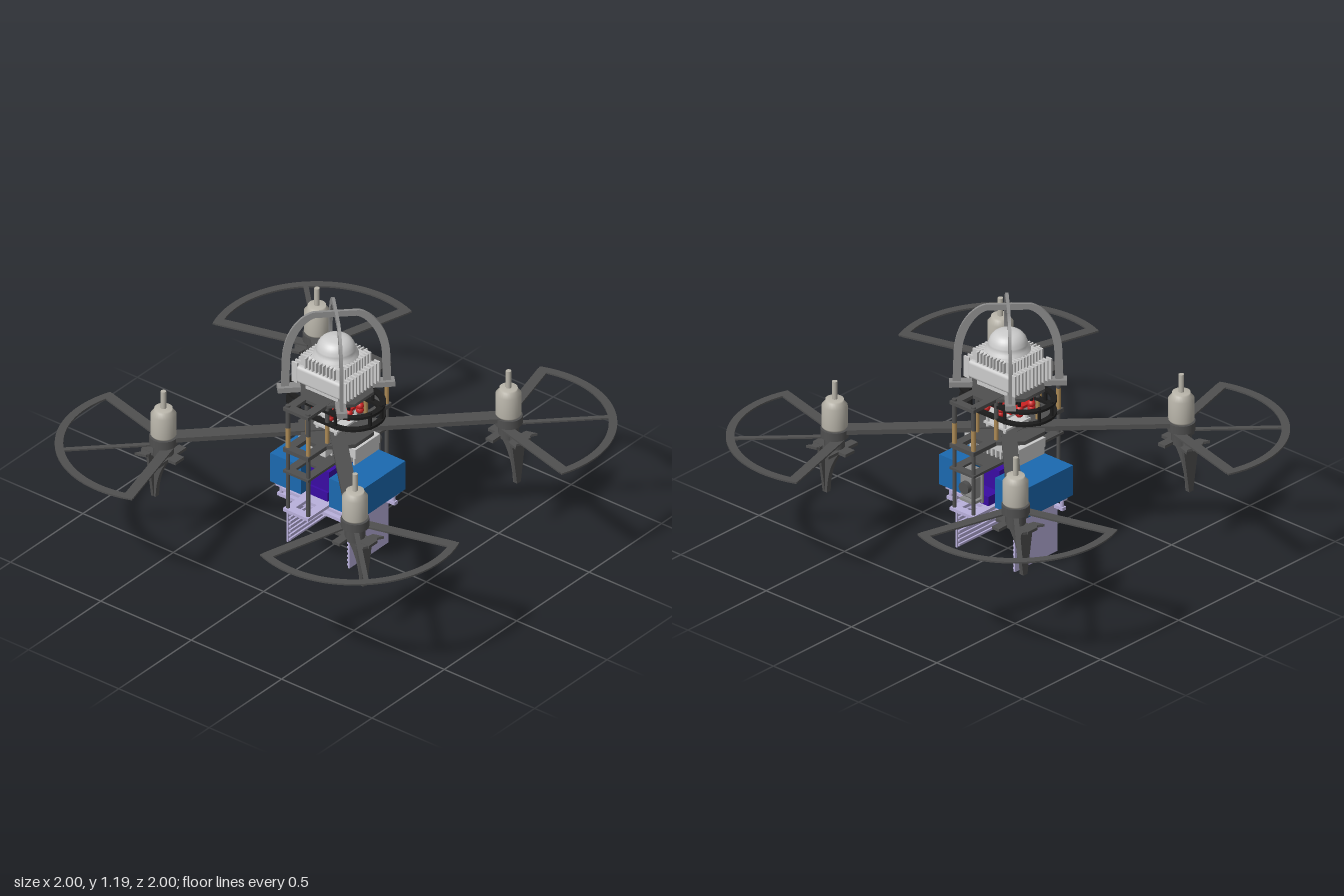
import * as THREE from 'three';
import { RoundedBoxGeometry } from 'three/addons/geometries/RoundedBoxGeometry.js';

const mat = (color) => new THREE.MeshStandardMaterial({ color });
const M = {
  carbon: mat(0x505050), black: mat(0x1c1c1c), motor: mat(0xb9b5aa), light: mat(0xd6d8d8), grey: mat(0x8c8c8c),
  blue: mat(0x1b69b0), lilac: mat(0xb9b0dc), purple: mat(0x3a0ca3), brass: mat(0xb08d57), red: mat(0xcc2222),
};

function add(parent, name, geo, material, x = 0, y = 0, z = 0) {
  const m = new THREE.Mesh(geo, material);
  m.name = name;
  m.position.set(x, y, z);
  parent.add(m);
  return m;
}
const box = (p, n, m, w, h, d, x, y, z) => add(p, n, new THREE.BoxGeometry(w, h, d), m, x, y, z);
const cyl = (p, n, m, r, y0, y1, x, z, seg = 20) =>
  add(p, n, new THREE.CylinderGeometry(r, r, y1 - y0, seg), m, x, (y0 + y1) / 2, z);
const group = (parent, name) => {
  const g = new THREE.Group();
  g.name = name;
  parent.add(g);
  return g;
};
const extrude = (shape, depth) =>
  new THREE.ExtrudeGeometry(shape, { depth, bevelEnabled: false, curveSegments: 24 });
// horizontal plate from an outline in plan, its underside on y = 0
const flat = (shape, depth) => extrude(shape, depth).rotateX(-Math.PI / 2);
const poly = (pts) => new THREE.Shape(pts.map(([x, y]) => new THREE.Vector2(x, y)));

function rectShape(x0, x1, z0, z1, holes = []) {
  const s = poly([[x0, z0], [x1, z0], [x1, z1], [x0, z1]]);
  for (const [a, b, c, d] of holes) s.holes.push(new THREE.Path(poly([[a, c], [a, d], [b, d], [b, c]]).getPoints()));
  return s;
}

// Motor, arm-end mount, open propeller guard and landing leg
function corner(root, sx, sz) {
  const g = group(root, 'rotorCorner');
  g.position.set(sx * 0.53, 0, sz * 0.53);
  const profile = [[0, 0.605], [0.05, 0.605], [0.057, 0.615], [0.057, 0.715], [0.04, 0.735], [0.04, 0.745], [0, 0.745]];
  add(g, 'motor', new THREE.LatheGeometry(profile.map(([r, y]) => new THREE.Vector2(r, y)), 28), M.motor);
  cyl(g, 'motorShaft', M.motor, 0.012, 0.74, 0.83, 0, 0);
  cyl(g, 'motorMount', M.carbon, 0.062, 0.565, 0.605, 0, 0);

  // guard is symmetric about the outward diagonal
  const guard = group(g, 'propellerGuard');
  guard.position.y = 0.557;
  guard.rotation.y = -Math.atan2(sz, sx);
  const a = THREE.MathUtils.degToRad(67);
  const ring = new THREE.Shape();
  ring.absarc(0, 0, 0.47, -a, a, false);
  ring.absarc(0, 0, 0.433, a, -a, true);
  add(guard, 'guardRim', flat(ring, 0.008), M.carbon);
  box(guard, 'guardMiddleSpoke', M.carbon, 0.41, 0.008, 0.022, 0.235, 0.004, 0);
  for (const s of [-1, 1]) {
    const spoke = group(guard, 'guardEndSpoke');
    spoke.rotation.y = -s * Math.PI / 3;
    box(spoke, 'guardEndSpokeBar', M.carbon, 0.43, 0.008, 0.048, 0.237, 0.004, s * 0.034);
  }

  // tapering leg: front plate with a curved rib behind
  const leg = group(g, 'landingLeg');
  leg.rotation.y = sz > 0 ? 0 : Math.PI;
  cyl(leg, 'legCollar', M.carbon, 0.045, 0.5, 0.565, 0, 0);
  box(leg, 'legCrossBar', M.carbon, 0.19, 0.014, 0.04, 0, 0.507, -0.03);
  box(leg, 'legLongBar', M.carbon, 0.06, 0.014, 0.19, 0, 0.507, 0.005);
  for (const s of [-1, 1]) {
    const hook = poly([[s * 0.01, -0.04], [s * 0.06, -0.05], [s * 0.075, -0.1], [s * 0.05, -0.085], [s * 0.02, -0.1]]);
    add(leg, 'legHook', flat(hook, 0.012), M.carbon, 0, 0.5, 0);
  }
  add(leg, 'legPlate', extrude(poly([[-0.05, 0.51], [-0.013, 0.28], [0.013, 0.28], [0.05, 0.51]]), 0.014), M.carbon, 0, 0, 0.044);
  const rib = new THREE.Shape();
  rib.moveTo(-0.055, 0.51);
  rib.lineTo(-0.058, 0.28);
  rib.lineTo(-0.034, 0.28);
  rib.quadraticCurveTo(-0.03, 0.42, 0.045, 0.5);
  rib.lineTo(0.045, 0.51);
  add(leg, 'legRib', extrude(rib, 0.024).rotateY(Math.PI / 2), M.carbon, -0.012, 0, 0);
}

// Side-to-side deck plate with slots in its wings
function deck(root, name, y, h, m, hub) {
  const slots = [[-0.24, -0.17, -0.03, 0.03], [0.19, 0.26, -0.03, 0.03]];
  add(root, name, flat(rectShape(-0.28, 0.297, -0.07, 0.07, slots), h), m, 0, y, 0);
  if (hub) {
    const c = add(root, name + 'Hub', new THREE.CylinderGeometry(hub, hub, h * 0.9, 8), m, 0, y + h / 2, 0);
    c.rotation.y = Math.PI / 8;
  }
}

// One flat protective hoop standing on two feet
function hoop(root, angle) {
  const g = group(root, 'sensorHoop');
  g.rotation.y = angle;
  const s = new THREE.Shape();
  s.moveTo(-0.24, 0.8);
  s.lineTo(-0.235, 0.96);
  s.bezierCurveTo(-0.23, 1.08, -0.17, 1.17, -0.1, 1.19);
  s.lineTo(0.1, 1.19);
  s.bezierCurveTo(0.17, 1.17, 0.23, 1.08, 0.235, 0.96);
  s.lineTo(0.24, 0.8);
  s.lineTo(0.205, 0.8);
  s.lineTo(0.2, 0.96);
  s.bezierCurveTo(0.195, 1.06, 0.14, 1.15, 0.09, 1.162);
  s.lineTo(-0.09, 1.162);
  s.bezierCurveTo(-0.14, 1.15, -0.195, 1.06, -0.2, 0.96);
  s.lineTo(-0.205, 0.8);
  add(g, 'hoopBand', extrude(s, 0.014), M.grey, 0, 0, -0.007);
  for (const e of [-1, 1]) box(g, 'hoopFoot', M.grey, 0.1, 0.025, 0.045, e * 0.205, 0.81, 0);
}

export function createModel() {
  const root = new THREE.Group();
  root.name = 'quadcopter';

  // crossed arms and corners
  for (const s of [-1, 1]) {
    const arm = box(root, 'crossArm', M.carbon, 1.5, 0.022, 0.068, 0, 0.595, 0);
    arm.rotation.y = s * Math.PI / 4;
    for (const t of [-1, 1]) corner(root, s, t);
    hoop(root, s * Math.PI / 4);
  }

  // decks and columns
  deck(root, 'topDeck', 0.79, 0.016, M.carbon, 0.17);
  deck(root, 'mainDeck', 0.58, 0.02, M.carbon, 0.17);
  deck(root, 'lowerDeck', 0.474, 0.012, M.carbon);
  deck(root, 'bottomDeck', 0.275, 0.015, M.lilac);
  for (const z of [-0.056, 0.056]) {
    for (const x of [-0.262, 0.281]) {
      cyl(root, 'column', M.carbon, 0.009, 0.28, 0.6, x, z, 10);
      cyl(root, 'brassStandoff', M.brass, 0.011, 0.6, 0.7, x, z, 6);
      cyl(root, 'upperColumn', M.carbon, 0.011, 0.7, 0.815, x, z, 10);
    }
    for (const x of [-0.13, 0.135]) {
      cyl(root, 'innerStandoff', M.brass, 0.01, 0.6, 0.7, x, z, 6);
      cyl(root, 'innerColumn', M.carbon, 0.01, 0.7, 0.79, x, z, 10);
    }
  }

  // domed sensor with finned front and back
  const sensor = group(root, 'domeSensor');
  add(sensor, 'sensorBody', new RoundedBoxGeometry(0.25, 0.085, 0.25, 2, 0.015), M.light, 0, 0.877, 0);
  add(sensor, 'sensorUpperBody', new RoundedBoxGeometry(0.2, 0.07, 0.2, 2, 0.012), M.light, 0, 0.935, 0);
  box(sensor, 'sensorBase', M.light, 0.2, 0.05, 0.18, 0, 0.825, 0);
  const dome = [[0.1, 0.955], [0.1, 0.975], [0.087, 0.98], [0.087, 1.0], [0.076, 1.03], [0.05, 1.053], [0, 1.062]];
  add(sensor, 'dome', new THREE.LatheGeometry(
    [...dome.slice(0, 4).map(([r, y]) => new THREE.Vector2(r, y)),
      ...new THREE.SplineCurve(dome.slice(3).map(([r, y]) => new THREE.Vector2(r, y))).getPoints(10).slice(1)], 36), M.light);
  for (let i = 0; i < 11; i++) {
    const x = -0.115 + i * 0.023;
    for (const s of [-1, 1]) {
      box(sensor, 'coolingFin', M.light, 0.009, 0.1, 0.03, x, 0.88, s * 0.135);
      box(sensor, 'upperFin', M.light, 0.009, 0.055, 0.04, x * 0.85, 0.945, s * 0.095);
      if (i > 0 && i < 10) box(sensor, 'sideFin', M.light, 0.025, 0.05, 0.008, s * 0.105, 0.945, x * 0.85);
    }
  }

  // oval damper rings, posts and red dampers
  const oval = (rx, rz) => {
    const c = new THREE.Shape(), d = rz - rx;
    c.absarc(0, d, rx, 0, Math.PI, false);
    c.absarc(0, -d, rx, Math.PI, Math.PI * 2, false);
    c.closePath();
    return c;
  };
  const ring = oval(0.142, 0.237);
  ring.holes.push(oval(0.115, 0.21));
  for (const y of [0.695, 0.755]) add(root, 'damperRing', flat(ring, 0.012), M.black, 0, y, 0);
  for (const s of [-1, 1]) {
    for (const x of [-0.04, 0.04]) cyl(root, 'ringPost', M.black, 0.008, 0.69, 0.775, x, s * 0.22, 10);
    for (const t of [-1, 1]) cyl(root, 'ringSidePost', M.black, 0.008, 0.69, 0.77, s * 0.13, t * 0.1, 10);
    box(root, 'ringBridge', M.black, 0.25, 0.01, 0.03, 0, 0.755, s * 0.08);
  }
  for (let i = 0; i < 8; i++) {
    const a = (i + 0.5) * Math.PI / 4, x = 0.1 * Math.cos(a), z = 0.11 * Math.sin(a);
    for (const y of [0.705, 0.725]) add(root, 'redDamper', new THREE.SphereGeometry(0.018, 12, 8), M.red, x, y, z);
    cyl(root, 'damperCore', M.black, 0.008, 0.69, 0.76, x, z, 8);
  }
  box(root, 'damperPlate', M.red, 0.15, 0.012, 0.17, 0, 0.712, 0);

  // electronics above and below the main deck
  for (const y of [0.625, 0.685]) box(root, 'circuitBoard', M.light, 0.16, 0.01, 0.13, 0.005, y, 0);
  for (const x of [-0.065, 0.075]) for (const z of [-0.05, 0.05]) cyl(root, 'boardPost', M.light, 0.008, 0.6, 0.69, x, z, 8);
  box(root, 'computer', M.light, 0.17, 0.045, 0.32, 0.02, 0.548, 0);
  for (let i = 0; i < 13; i++) box(root, 'computerFin', M.light, 0.17, 0.04, 0.01, 0.02, 0.51, -0.15 + i * 0.025);
  box(root, 'receiver', M.light, 0.06, 0.035, 0.09, -0.1, 0.537, 0);

  // batteries, power unit and side camera
  for (const s of [-1, 1]) box(root, 'battery', M.blue, 0.315, 0.145, 0.17, 0.012, 0.362, s * 0.163);
  box(root, 'powerUnit', M.purple, 0.3, 0.045, 0.1, 0.03, 0.312, 0);
  box(root, 'powerUnitTop', M.purple, 0.22, 0.1, 0.1, 0.0, 0.385, 0);
  box(root, 'cameraBracket', M.grey, 0.012, 0.16, 0.09, 0.207, 0.395, 0);
  add(root, 'sideCamera', new RoundedBoxGeometry(0.045, 0.11, 0.085, 2, 0.01), M.grey, 0.24, 0.4, 0);
  const lens = cyl(root, 'cameraLens', M.carbon, 0.028, 0, 0.03, 0.27, 0);
  lens.position.y = 0.4;
  lens.rotation.z = Math.PI / 2;
  for (const y of [0.33, 0.47]) box(root, 'cameraTab', M.grey, 0.06, 0.012, 0.08, 0.235, y, 0);

  // payload frame below, with two hanging louvred panels
  const frame = group(root, 'payloadFrame');
  const holes = [];
  for (const [a, b] of [[-0.11, -0.005], [0.025, 0.13]])
    for (const [c, d] of [[-0.14, -0.08], [-0.05, 0.05], [0.08, 0.14]]) holes.push([a, b, c, d]);
  add(frame, 'upperFrame', flat(rectShape(-0.14, 0.16, -0.19, 0.19, holes), 0.014), M.lilac, 0, 0.262, 0);
  add(frame, 'lowerFrame', flat(rectShape(-0.125, 0.145, -0.17, 0.17, holes), 0.014), M.lilac, 0, 0.218, 0);
  box(frame, 'payloadLatch', M.grey, 0.14, 0.03, 0.1, 0.005, 0.245, 0);
  for (const x of [-0.115, 0.135]) {
    box(frame, 'lowerRail', M.lilac, 0.022, 0.016, 0.45, x, 0.226, 0);
    box(frame, 'upperRail', M.lilac, 0.03, 0.012, 0.46, x, 0.274, 0);
    for (const z of [-0.21, 0.21]) cyl(frame, 'framePost', M.lilac, 0.009, 0.215, 0.285, x, z, 10);
  }
  for (const s of [-1, 1]) {
    box(frame, 'hangingPanel', M.lilac, 0.27, 0.25, 0.009, 0.01, 0.125, s * 0.17);
    for (let i = 0; i < 10; i++) box(frame, 'panelLouvre', M.lilac, 0.26, 0.009, 0.01, 0.01, 0.012 + i * 0.022, s * 0.162);
  }
  return root;
}
